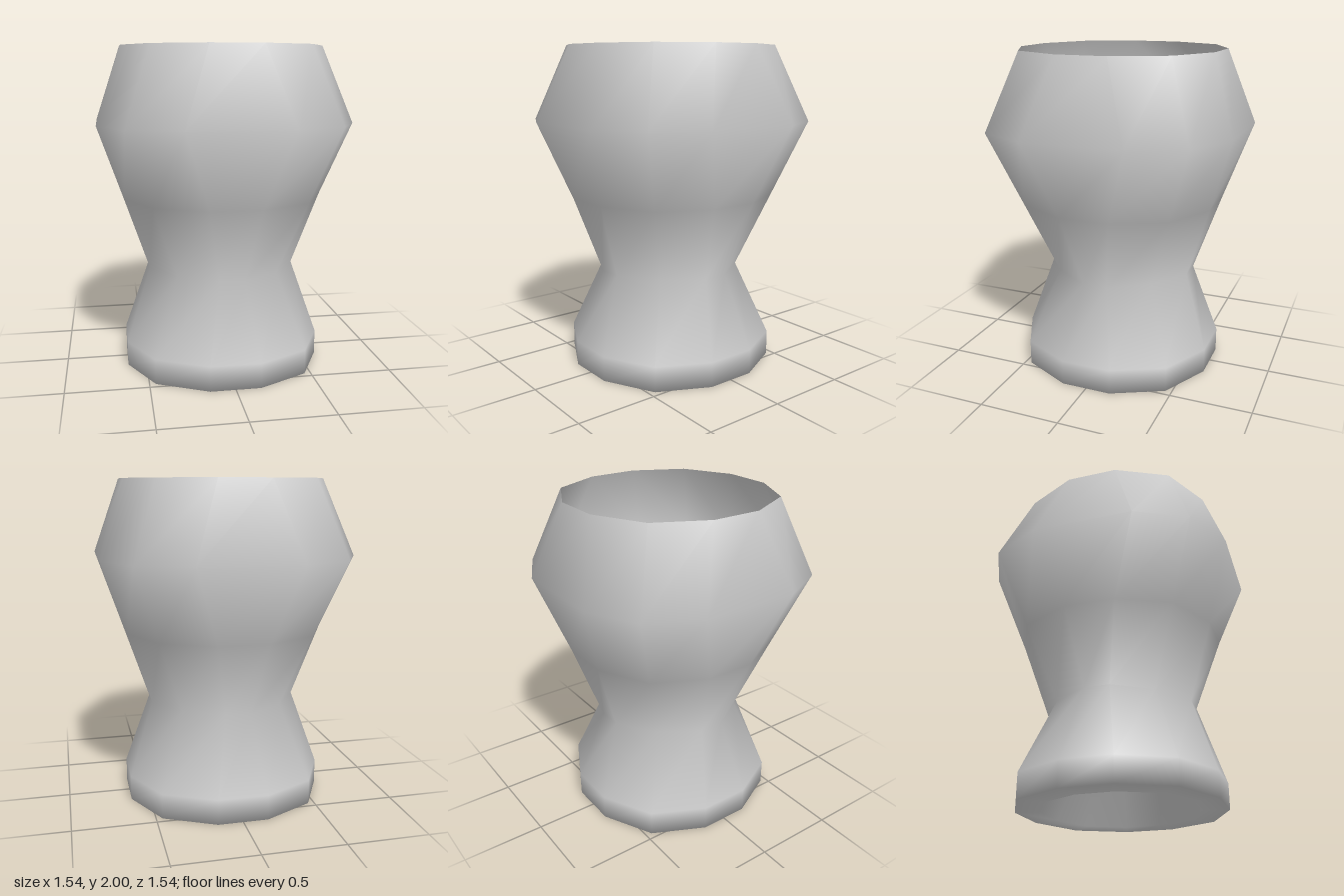
import * as THREE from 'three';

const U = 2 / 13; // modelling unit

// Twelve-sided ring from three lengths: half width, short half side, diagonal corner.
// Points run anticlockwise seen from above.
function ringPoints(half, side, corner, y) {
  const points = [];
  for (let q = 0; q < 4; q++) {
    const c = Math.round(Math.cos(q * Math.PI / 2));
    const s = Math.round(Math.sin(q * Math.PI / 2));
    for (const [x, z] of [[half, side], [half, -side], [corner, -corner]]) {
      points.push([(x * c + z * s) * U, y * U, (z * c - x * s) * U]);
    }
  }
  return points;
}

export function createModel() {
  const group = new THREE.Group();
  group.name = 'vase';

  // Sections from the hollow underside, round the foot and up to the open rim
  const sections = [
    [2.34, 0.65, 1.69, 3.5], // raised floor
    [3, 0.76, 2.25, 0],      // inner edge of foot
    [4, 1, 3, 0],            // outer edge of foot
    [4, 1, 3, 1],            // top of foot
    [3, 0.5, 2, 4],          // neck
    [4, 1, 3, 7],            // lower bowl
    [5, 2, 4, 10],           // widest part
    [4, 1, 3, 13],           // rim
  ];
  const n = 12;
  const positions = [];
  const index = [];
  for (const s of sections) positions.push(...ringPoints(...s).flat());

  for (let r = 0; r < sections.length - 1; r++) {
    for (let i = 0; i < n; i++) {
      const a = r * n + i;
      const b = r * n + (i + 1) % n;
      index.push(a, b, b + n, a, b + n, a + n);
    }
  }

  // Floor closing the hollow
  const centre = positions.length / 3;
  positions.push(0, sections[0][3] * U, 0);
  for (let i = 0; i < n; i++) index.push(centre, (i + 1) % n, i);

  const geometry = new THREE.BufferGeometry();
  geometry.setAttribute('position', new THREE.Float32BufferAttribute(positions, 3));
  geometry.setIndex(index);
  geometry.computeVertexNormals();

  const material = new THREE.MeshStandardMaterial({ color: 0xcccccc, side: THREE.DoubleSide });
  const body = new THREE.Mesh(geometry, material);
  body.name = 'vaseBody';
  group.add(body);
  return group;
}
